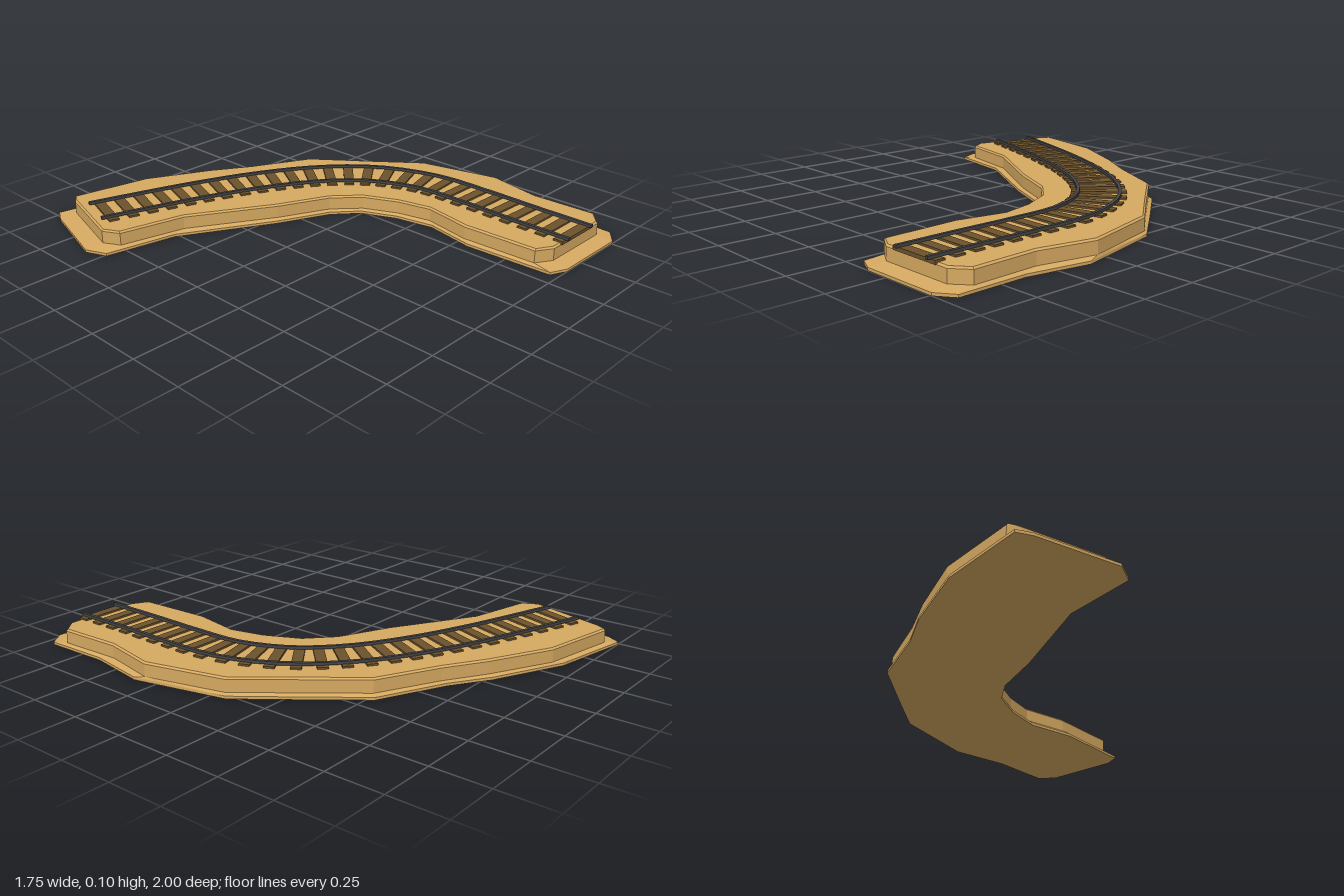
import * as THREE from 'three';

const sand = new THREE.MeshStandardMaterial({ color: 0xd6a961, flatShading: true });
const wood = new THREE.MeshStandardMaterial({ color: 0x6b522b, flatShading: true });
const steel = new THREE.MeshStandardMaterial({ color: 0x444446, flatShading: true });

// Plan outlines as [x, z], clockwise seen from above
const baseOutline = [
  [-0.74, -1], [-0.36, -0.93], [-0.04, -0.78], [0.13, -0.67], [0.425, -0.53], [0.62, -0.28],
  [0.78, -0.07], [0.875, 0.355], [0.825, 0.635], [0.83, 0.945], [0.755, 1], [0.39, 1],
  [0.315, 0.965], [0.295, 0.56], [0.34, 0.33], [0.305, 0.15], [0.235, -0.005], [0.125, -0.1],
  [-0.11, -0.205], [-0.52, -0.43], [-0.84, -0.49], [-0.88, -0.585], [-0.775, -0.94],
];
const bedOutline = [
  [-0.67, -0.965], [-0.315, -0.9], [-0.035, -0.76], [0.145, -0.65], [0.415, -0.515], [0.61, -0.265],
  [0.77, -0.065], [0.86, 0.305], [0.805, 0.565], [0.815, 0.865], [0.745, 0.925], [0.4, 0.925],
  [0.325, 0.88], [0.312, 0.53], [0.355, 0.305], [0.32, 0.15], [0.248, -0.005], [0.135, -0.11],
  [-0.095, -0.215], [-0.465, -0.43], [-0.76, -0.495], [-0.8, -0.57], [-0.7, -0.92],
];

// Move an outline inwards by d along its averaged edge normals
function inset(points, d) {
  const n = points.length;
  return points.map(([x, z], i) => {
    const a = points[(i + n - 1) % n], b = points[(i + 1) % n];
    const dx = b[0] - a[0], dz = b[1] - a[1], len = Math.hypot(dx, dz);
    return [x - (dz / len) * d, z + (dx / len) * d];
  });
}

// Walls joining stacked outlines
function walls(rings) {
  const n = rings[0].points.length, position = [], index = [];
  rings.forEach(({ points, y }) => points.forEach(([x, z]) => position.push(x, y, z)));
  for (let r = 0; r < rings.length - 1; r++) {
    for (let i = 0; i < n; i++) {
      const a = r * n + i, b = r * n + (i + 1) % n;
      index.push(a, b + n, b, a, a + n, b + n);
    }
  }
  const geometry = new THREE.BufferGeometry();
  geometry.setAttribute('position', new THREE.Float32BufferAttribute(position, 3));
  geometry.setIndex(index);
  geometry.computeVertexNormals();
  return geometry;
}

// Flat cap facing up (dir 1) or down (dir -1)
function cap(points, y, dir) {
  const shape = new THREE.Shape(points.map(([x, z]) => new THREE.Vector2(x, -z * dir)));
  return new THREE.ShapeGeometry(shape).rotateX(-dir * Math.PI / 2).translate(0, y, 0);
}

function add(parent, name, geometry, material) {
  const mesh = new THREE.Mesh(geometry, material);
  mesh.name = name;
  parent.add(mesh);
  return mesh;
}

export function createModel() {
  const model = new THREE.Group();
  model.name = 'curvedTrack';

  // Raised sand bed on a wider, thin foot
  const bed = new THREE.Group();
  bed.name = 'sandBed';
  model.add(bed);
  const top = inset(bedOutline, 0.008);
  add(bed, 'bedSides', walls([
    { points: baseOutline, y: 0 },
    { points: baseOutline, y: 0.012 },
    { points: bedOutline, y: 0.022 },
    { points: bedOutline, y: 0.077 },
    { points: top, y: 0.085 },
  ]), sand);
  add(bed, 'bedTop', cap(top, 0.085, 1), sand);
  add(bed, 'bedUnderside', cap(baseOutline, 0, -1), sand);

  // Centre line of the track
  const curve = new THREE.CatmullRomCurve3([
    [-0.72, -0.732], [-0.46, -0.65], [-0.21, -0.563], [0.04, -0.455], [0.28, -0.31],
    [0.46, -0.125], [0.563, 0.125], [0.575, 0.4], [0.57, 0.67], [0.57, 0.945],
  ].map(([x, z]) => new THREE.Vector3(x, 0, z)));
  const offsetPoint = (t, d) => {
    const p = curve.getPointAt(t), tan = curve.getTangentAt(t);
    return [p.x + tan.z * d, p.z - tan.x * d];
  };

  // Sleepers laid across the line
  const sleepers = new THREE.Group();
  sleepers.name = 'sleepers';
  model.add(sleepers);
  const sleeperGeometry = new THREE.BoxGeometry(0.24, 0.016, 0.046);
  const count = 27;
  for (let i = 0; i < count; i++) {
    const t = 0.02 + (0.965 * i) / (count - 1);
    const p = curve.getPointAt(t), tan = curve.getTangentAt(t);
    const sleeper = add(sleepers, 'sleeper', sleeperGeometry, wood);
    sleeper.position.set(p.x, 0.085, p.z);
    sleeper.rotation.y = Math.atan2(tan.x, tan.z);
  }

  // Two rails following the line
  const half = 0.0075, steps = 30;
  for (const [name, d] of [['outerRail', 0.09], ['innerRail', -0.09]]) {
    const side = (offset) => Array.from({ length: steps + 1 }, (_, i) => offsetPoint(i / steps, offset));
    const plan = [...side(d + half), ...side(d - half).reverse()];
    const shape = new THREE.Shape(plan.map(([x, z]) => new THREE.Vector2(x, -z)));
    const geometry = new THREE.ExtrudeGeometry(shape, { depth: 0.013, bevelEnabled: false });
    add(model, name, geometry.rotateX(-Math.PI / 2).translate(0, 0.092, 0), steel);
  }
  return model;
}
